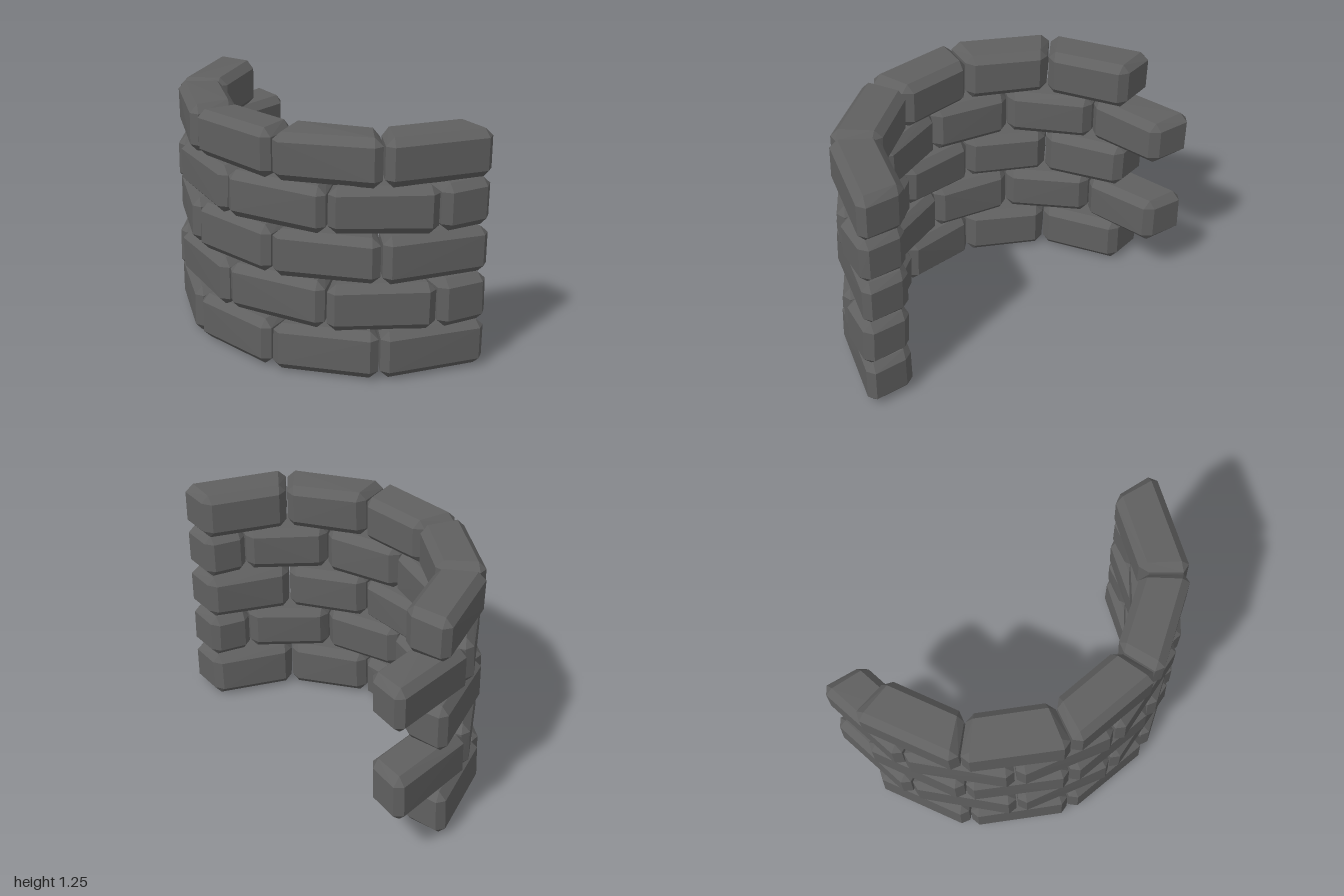
import * as THREE from 'three';
import { ConvexGeometry } from 'three/addons/geometries/ConvexGeometry.js';

const CENTRE_Z = -0.48, R_OUT = 0.99, R_IN = 0.74, BEVEL = 0.04;

// small seeded random, -1..1
let seed = 7;
function rnd() {
  seed = (seed * 16807) % 2147483647;
  return (seed / 2147483647) * 2 - 1;
}

// one chamfered, slightly uneven wedge brick spanning two angles (degrees) of the arc
function brickGeometry(a0, a1, y0, y1) {
  const corners = [];
  for (let i = 0; i < 8; i++) {
    const a = THREE.MathUtils.degToRad(i & 1 ? a1 : a0);
    const r = (i & 4 ? R_OUT : R_IN) + rnd() * 0.006;
    corners.push(new THREE.Vector3(
      r * Math.cos(a),
      (i & 2 ? y1 : y0) + rnd() * 0.007,
      CENTRE_Z + r * Math.sin(a)));
  }
  // trilinear blend of the eight corners
  const at = (u, v, w) => {
    const p = new THREE.Vector3();
    corners.forEach((c, i) => p.addScaledVector(c,
      (i & 1 ? u : 1 - u) * (i & 2 ? v : 1 - v) * (i & 4 ? w : 1 - w)));
    return p;
  };
  const length = THREE.MathUtils.degToRad(a1 - a0) * (R_IN + R_OUT) / 2;
  const inset = [BEVEL / length, BEVEL / (y1 - y0), BEVEL / (R_OUT - R_IN)];
  const points = [];
  for (let i = 0; i < 8; i++) {
    for (let full = 0; full < 3; full++) {
      const t = [0, 1, 2].map((k) => {
        const d = k === full ? 0 : inset[k];
        return i & (1 << k) ? 1 - d : d;
      });
      points.push(at(...t));
    }
  }
  return new ConvexGeometry(points);
}

export function createModel() {
  const group = new THREE.Group();
  group.name = 'curvedBrickWall';
  const stone = new THREE.MeshStandardMaterial({ color: 0x606060, flatShading: true });
  stone.name = 'darkGreyStone';

  // joint angles of the two alternating courses
  const oddJoints = [-1, 33, 66, 98, 130.5, 163.5];
  const evenJoints = [-1, 16, 49, 82.5, 115, 149, 181];
  const levels = [0.007, 0.26, 0.51, 0.76, 1.005, 1.25];

  for (let row = 0; row < 5; row++) {
    const course = new THREE.Group();
    course.name = `course${row + 1}`;
    const joints = row % 2 ? evenJoints : oddJoints;
    for (let i = 0; i < joints.length - 1; i++) {
      const start = joints[i] + (i ? 0.3 : 0);
      const end = joints[i + 1] - (i < joints.length - 2 ? 0.3 : 0);
      const brick = new THREE.Mesh(
        brickGeometry(start, end, levels[row] + 0.002, levels[row + 1] - 0.002), stone);
      brick.name = `brick${i + 1}`;
      course.add(brick);
    }
    group.add(course);
  }
  return group;
}
